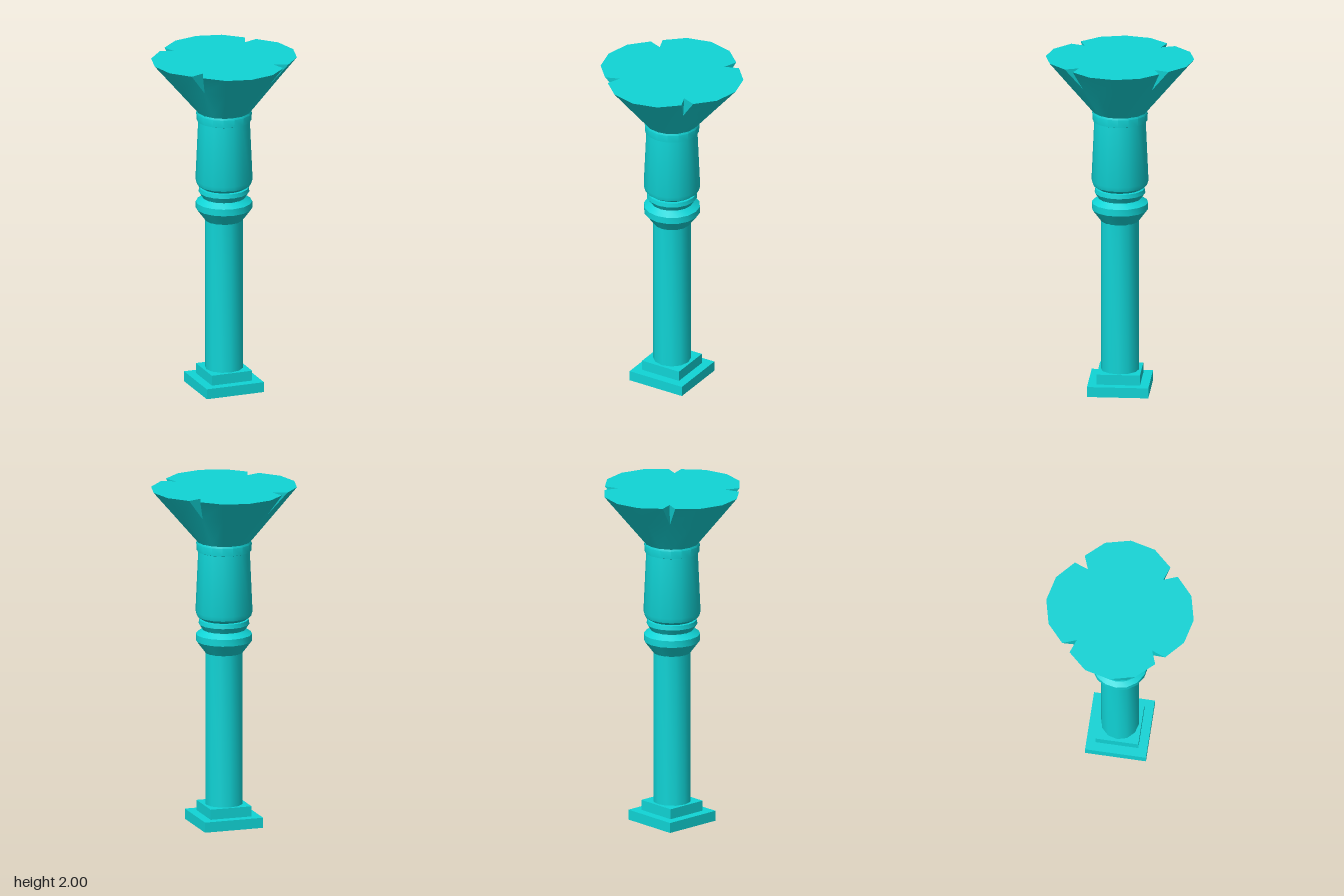
import * as THREE from 'three';
import { toCreasedNormals } from 'three/addons/utils/BufferGeometryUtils.js';

const turquoise = new THREE.MeshStandardMaterial({ color: 0x10d4d6 });
turquoise.name = 'turquoise';

function add(group, name, geometry, y = 0) {
  const mesh = new THREE.Mesh(geometry, turquoise);
  mesh.name = name;
  mesh.position.y = y;
  group.add(mesh);
}

// Turned part from [radius, height] pairs, listed bottom to top
function turned(profile, sides) {
  const points = profile.map(([r, y]) => new THREE.Vector2(r, y));
  return toCreasedNormals(new THREE.LatheGeometry(points, sides), 0.56);
}

// Repeats one quarter of an outline four times around the y axis
function ring(quarter, y) {
  const points = [];
  for (let q = 0; q < 4; q++) {
    for (const [x, z] of quarter) {
      const p = new THREE.Vector3(x, y, z);
      points.push(p.applyAxisAngle(new THREE.Vector3(0, 1, 0), -q * Math.PI / 2));
    }
  }
  return points;
}

// Flared four-petal capital whose diagonal notches close up lower down
function capitalGeometry() {
  const rings = [
    ring([[0.155, 0], [0.145, 0.057], [0.11, 0.11], [0.11, 0.11], [0.11, 0.11], [0.057, 0.145]], 1.68),
    ring([[0.318, 0], [0.294, 0.109], [0.2, 0.2], [0.2, 0.2], [0.2, 0.2], [0.109, 0.294]], 1.87),
    ring([[0.43, 0], [0.395, 0.145], [0.3, 0.25], [0.22, 0.22], [0.25, 0.3], [0.145, 0.395]], 2),
  ];
  const positions = [];
  const triangle = (a, b, c) => {
    if (new THREE.Triangle(a, b, c).getArea() < 1e-7) return; // closed notch
    for (const p of [a, b, c]) positions.push(p.x, p.y, p.z);
  };
  const n = rings[0].length;
  const topCentre = new THREE.Vector3(0, 2, 0);
  const bottomCentre = new THREE.Vector3(0, 1.68, 0);
  for (let i = 0; i < n; i++) {
    const j = (i + 1) % n;
    for (let k = 0; k < 2; k++) {
      const low = rings[k], high = rings[k + 1];
      triangle(low[i], high[i], low[j]);
      triangle(high[i], high[j], low[j]);
    }
    triangle(topCentre, rings[2][j], rings[2][i]);
    triangle(bottomCentre, rings[0][i], rings[0][j]);
  }
  const geometry = new THREE.BufferGeometry();
  geometry.setAttribute('position', new THREE.Float32BufferAttribute(positions, 3));
  return toCreasedNormals(geometry, 0.6);
}

export function createModel() {
  const column = new THREE.Group();
  column.name = 'column';

  // Stepped square base
  add(column, 'plinth', new THREE.BoxGeometry(0.355, 0.06, 0.355), 0.03);
  add(column, 'upperPlinth', new THREE.BoxGeometry(0.25, 0.06, 0.25), 0.09);

  add(column, 'shaft', turned([[0.11, 0.12], [0.11, 1.03]], 12));

  // Stacked mouldings above the shaft
  add(column, 'lowerMoulding', turned([
    [0, 1.02], [0.11, 1.02], [0.163, 1.09], [0.163, 1.13], [0.125, 1.157],
    [0.147, 1.19], [0.143, 1.215], [0.11, 1.22],
  ], 16));

  // Tapering bell with a rounded lower lip
  add(column, 'bell', turned([
    [0.1, 1.212], [0.125, 1.215], [0.157, 1.237], [0.165, 1.265], [0.149, 1.625],
  ], 16));

  add(column, 'collar', turned([
    [0.145, 1.62], [0.158, 1.625], [0.161, 1.67], [0.155, 1.685], [0, 1.685],
  ], 16));

  add(column, 'capital', capitalGeometry());
  return column;
}
